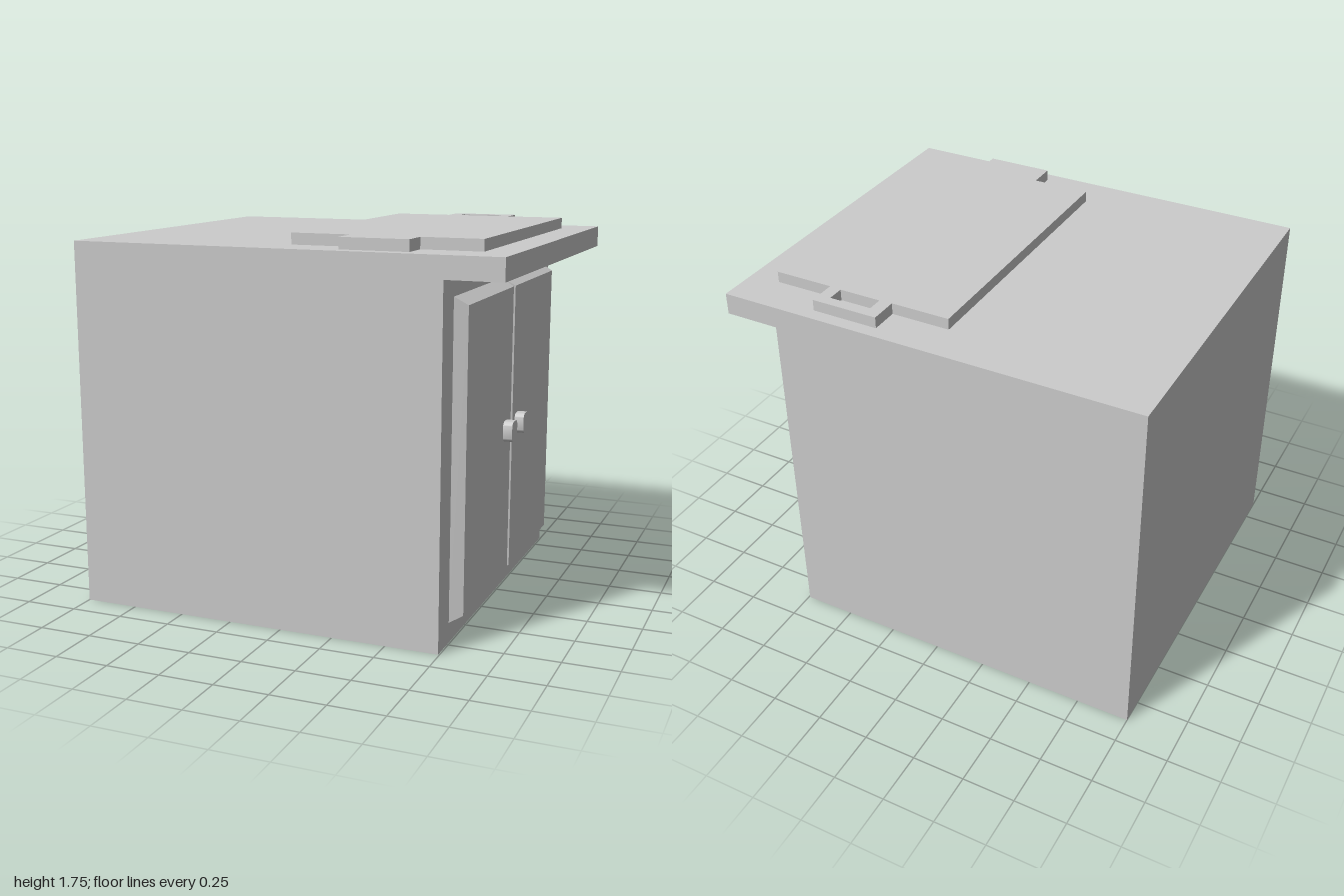
import * as THREE from 'three';
import { toCreasedNormals } from 'three/addons/utils/BufferGeometryUtils.js';

const grey = new THREE.MeshStandardMaterial({ color: 0xcccccc });
const points = (list) => list.map(([x, y]) => new THREE.Vector2(x, y));

function part(name, geometry, parent) {
  const mesh = new THREE.Mesh(geometry, grey);
  mesh.name = name;
  parent.add(mesh);
  return mesh;
}

function extrude(shape, depth, curveSegments = 2) {
  return new THREE.ExtrudeGeometry(shape, { depth, bevelEnabled: false, curveSegments });
}

// Door panel: a box whose outer (+x) face is drawn in to make bevelled edges
function doorGeometry() {
  const geometry = new THREE.BoxGeometry(0.06, 1.424, 0.727);
  const pos = geometry.attributes.position;
  for (let i = 0; i < pos.count; i++) {
    if (pos.getX(i) < 0) continue;
    pos.setY(i, pos.getY(i) - Math.sign(pos.getY(i)) * 0.035);
    pos.setZ(i, pos.getZ(i) - Math.sign(pos.getZ(i)) * 0.016);
  }
  const flat = geometry.toNonIndexed();
  flat.computeVertexNormals();
  return flat;
}

// Knob: rounded rectangle extruded outwards along +x
function knobGeometry() {
  const w = 0.044, h = 0.048, r = 0.026;
  const shape = new THREE.Shape();
  shape.absarc(w - r, h - r, r, 0, Math.PI / 2);
  shape.absarc(r - w, h - r, r, Math.PI / 2, Math.PI);
  shape.absarc(r - w, r - h, r, Math.PI, Math.PI * 1.5);
  shape.absarc(w - r, r - h, r, Math.PI * 1.5, Math.PI * 2);
  shape.closePath();
  return toCreasedNormals(extrude(shape, 0.045, 3).rotateY(Math.PI / 2), 0.9);
}

// Board with a slotted grip tab at each end, lying flat
function boardGeometry() {
  const half = [[-0.015, 0.676], [0.262, 0.676], [0.262, 0.807], [0.577, 0.807], [0.577, 0.676], [0.855, 0.676]];
  const mirrored = half.map(([x, z]) => [x, -z]).reverse();
  const shape = new THREE.Shape(points([...half, ...mirrored]));
  for (const s of [1, -1]) {
    shape.holes.push(new THREE.Path(points([
      [0.322, s * 0.68], [0.52, s * 0.68], [0.52, s * 0.758], [0.322, s * 0.758],
    ])));
  }
  return extrude(shape, 0.052).rotateX(-Math.PI / 2);
}

export function createModel() {
  const model = new THREE.Group();
  model.name = 'cabinet';

  // Cabinet body and overhanging worktop share one side profile
  const profile = new THREE.Shape(points([[-1, 0], [0.744, 0], [0.744, 1.6], [1, 1.6], [1, 1.7], [-1, 1.7]]));
  part('cabinetBody', extrude(profile, 1.736).translate(0, 0, -0.868), model);

  part('board', boardGeometry(), model).position.y = 1.7;

  // Pair of doors with knobs, mirrored about the middle
  for (const [side, s] of [['left', -1], ['right', 1]]) {
    const door = new THREE.Group();
    door.name = side + 'Door';
    part(side + 'DoorPanel', doorGeometry(), door).position.set(0.774, 0.804, s * 0.3635);
    part(side + 'DoorKnob', knobGeometry(), door).position.set(0.803, 0.82, s * 0.1);
    model.add(door);
  }
  return model;
}
